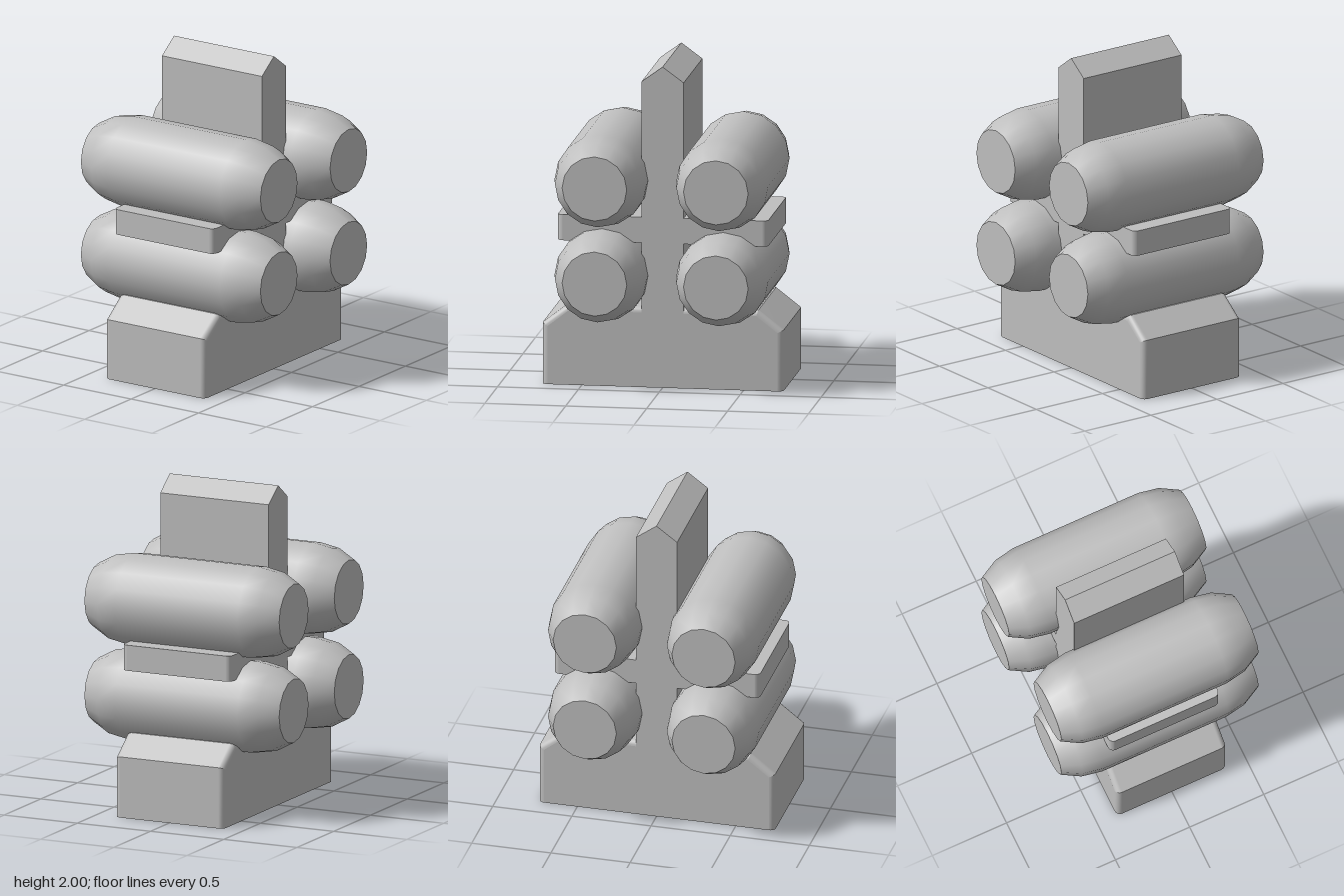
import * as THREE from 'three';

const HALF = 0.37; // half width of the frame
const grey = new THREE.MeshStandardMaterial({ color: 0xbfbfbf, side: THREE.DoubleSide });
grey.name = 'plain grey';

function add(parent, geometry, name) {
  const mesh = new THREE.Mesh(geometry, grey);
  mesh.name = name;
  parent.add(mesh);
  return mesh;
}

// Outline of the base as [z, y], moved inward by o
function baseOutline(o) {
  const half = [[0.745 - o, 0], [0.745 - o, 0.38 - 0.49 * o], [0.59 - 0.34 * o, 0.5 - o]];
  return [...half, ...half.map(([z, y]) => [-z, y]).reverse()];
}

// Grid across the width for one side of the outline, rounded at both ends
function baseStrip(segment, rows) {
  const pos = [], index = [];
  rows.forEach(([x, o], j) => {
    const outline = baseOutline(o);
    for (const k of [segment, segment + 1]) pos.push(x, outline[k][1], outline[k][0]);
    if (j < rows.length - 1) {
      const a = j * 2;
      index.push(a, a + 2, a + 3, a, a + 3, a + 1);
    }
  });
  const g = new THREE.BufferGeometry();
  g.setAttribute('position', new THREE.Float32BufferAttribute(pos, 3));
  g.setIndex(index);
  g.computeVertexNormals();
  return g;
}

// Hollow base, open underneath
function makeBase() {
  const base = new THREE.Group();
  base.name = 'base';
  const r = 0.035, steps = 5, right = [];
  for (let i = 0; i <= steps; i++) {
    const t = (i / steps) * Math.PI / 2;
    right.push([HALF - r + r * Math.sin(t), r * (1 - Math.cos(t))]);
  }
  const rows = [...right.map(([x, o]) => [-x, o]).reverse(), ...right];
  for (let s = 0; s < 5; s++) add(base, baseStrip(s, rows), 'baseShell');
  const side = new THREE.Shape(baseOutline(r).map(([z, y]) => new THREE.Vector2(z, y)));
  for (const s of [-1, 1]) {
    const g = new THREE.ShapeGeometry(side).rotateY(s * Math.PI / 2).translate(s * HALF, 0, 0);
    add(base, g, 'baseSide');
  }
  return base;
}

// Upright slab with a ridged top
function uprightGeometry() {
  const s = new THREE.Shape([[-0.13, 0.46], [0.13, 0.46], [0.13, 1.905], [0, 2], [-0.13, 1.905]]
    .map(([z, y]) => new THREE.Vector2(z, y)));
  return new THREE.ExtrudeGeometry(s, { depth: 2 * HALF, bevelEnabled: false })
    .translate(0, 0, -HALF).rotateY(Math.PI / 2);
}

// Shelf with rounded vertical edges
function shelfGeometry() {
  const w = HALF, d = 0.65, r = 0.035;
  const s = new THREE.Shape();
  s.moveTo(-w + r, -d).lineTo(w - r, -d).absarc(w - r, -d + r, r, -Math.PI / 2, 0);
  s.lineTo(w, d - r).absarc(w - r, d - r, r, 0, Math.PI / 2);
  s.lineTo(-w + r, d).absarc(-w + r, d - r, r, Math.PI / 2, Math.PI);
  s.lineTo(-w, -d + r).absarc(-w + r, -d + r, r, Math.PI, Math.PI * 1.5);
  return new THREE.ExtrudeGeometry(s, { depth: 0.16, bevelEnabled: false, curveSegments: 5 })
    .rotateX(-Math.PI / 2).translate(0, 0.9, 0);
}

// Sixteen-sided roll with tapered shoulders and flat ends
function makeRoll(y, z) {
  const roll = new THREE.Group();
  roll.name = 'roll';
  const half = [[0.2, 0.665], [0.262, 0.55], [0.285, 0.42]];
  const profile = [...half.map(([r, x]) => [r, -x]), ...half.slice().reverse()]
    .map(([r, x]) => new THREE.Vector2(r, x));
  add(roll, new THREE.LatheGeometry(profile, 16).rotateZ(-Math.PI / 2), 'rollBody');
  for (const s of [-1, 1]) {
    add(roll, new THREE.CircleGeometry(0.2, 16).rotateY(s * Math.PI / 2).translate(s * 0.665, 0, 0), 'rollEnd');
  }
  roll.position.set(0, y, z);
  return roll;
}

export function createModel() {
  const model = new THREE.Group();
  model.name = 'rollRack';
  model.add(makeBase());
  add(model, uprightGeometry(), 'upright');
  add(model, shelfGeometry(), 'shelf');
  for (const y of [0.695, 1.288]) for (const z of [-0.375, 0.375]) model.add(makeRoll(y, z));
  return model;
}
